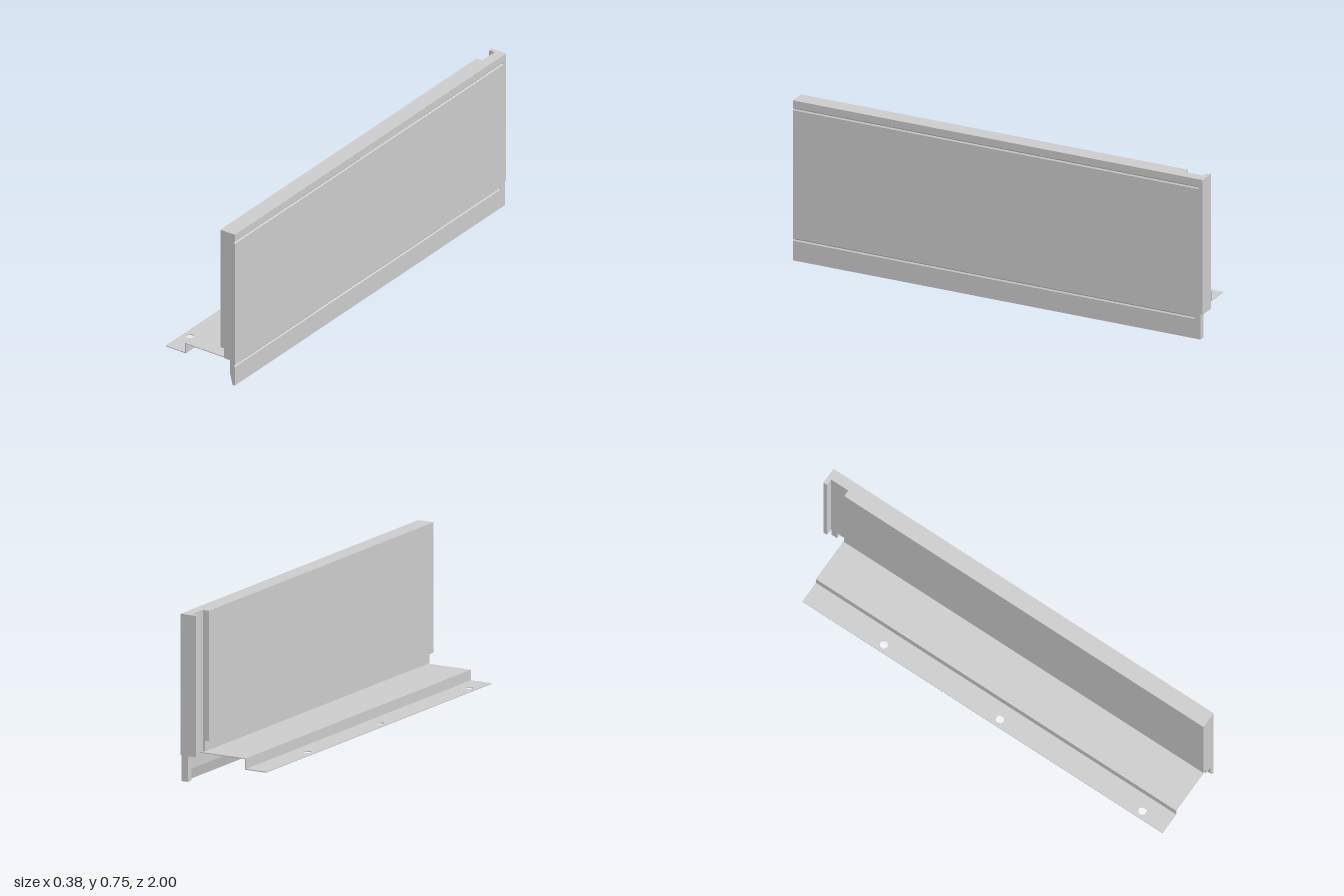
import * as THREE from 'three';

const material = new THREE.MeshStandardMaterial({ color: 0xcccccc });

function add(group, name, geometry) {
  const mesh = new THREE.Mesh(geometry, material);
  mesh.name = name;
  group.add(mesh);
  return mesh;
}

// Extrude an x-y cross-section from z0 to z1
function profile(points, z0, z1) {
  const shape = new THREE.Shape(points.map(([x, y]) => new THREE.Vector2(x, y)));
  return new THREE.ExtrudeGeometry(shape, { depth: z1 - z0, bevelEnabled: false }).translate(0, 0, z0);
}

function box(x0, x1, y0, y1, z0, z1) {
  return new THREE.BoxGeometry(x1 - x0, y1 - y0, z1 - z0)
    .translate((x0 + x1) / 2, (y0 + y1) / 2, (z0 + z1) / 2);
}

export function createModel() {
  const group = new THREE.Group();
  const outer = 0.188, inner = 0.11, top = 0.75, seat = 0.118;

  // Outer face with two V grooves, and the tapered lower lip
  const groove = (y) => [[outer, y - 0.006], [outer - 0.005, y], [outer, y + 0.006]];
  const face = [[outer, 0], ...groove(0.098), ...groove(0.71), [outer, top]];
  const lip = [[0.163, seat], [0.163, 0.05], [0.176, 0]];

  // Main board, rebated along its lower inner edge
  add(group, 'panel', profile(
    [...face, [inner, top], [inner, 0.167], [0.131, 0.167], [0.131, seat], ...lip], -0.89, 1));

  // Thinner rear tongue ending in a hooked edge
  add(group, 'rearTongue', profile([...face, [0.141, top], [0.141, seat], ...lip], -0.98, -0.89));
  add(group, 'rearHook', box(inner, outer, seat, top, -1, -0.98));
  add(group, 'rearLipBlock', box(0.157, outer, 0, seat, -0.99, -0.96));

  // Folded sheet shelf
  const back = -0.905, front = 0.99, t = 0.004;
  add(group, 'shelf', profile(
    [[-0.086, 0.067], [-0.082, 0.067], [-0.082, seat - t], [0.164, seat - t], [0.164, seat], [-0.086, seat]],
    back, front));

  // Lower mounting flange with screw holes
  const flange = new THREE.Shape([
    [-0.19, -front], [-0.086, -front], [-0.086, -back], [-0.19, -back],
  ].map(([x, y]) => new THREE.Vector2(x, y)));
  for (const z of [-0.5, 0.11, 0.86]) {
    flange.holes.push(new THREE.Path().absarc(-0.155, -z, 0.018, 0, Math.PI * 2, true));
  }
  add(group, 'mountingFlange', new THREE.ExtrudeGeometry(flange,
    { depth: t, bevelEnabled: false, curveSegments: 24 }).rotateX(-Math.PI / 2).translate(0, 0.067, 0));

  return group;
}
